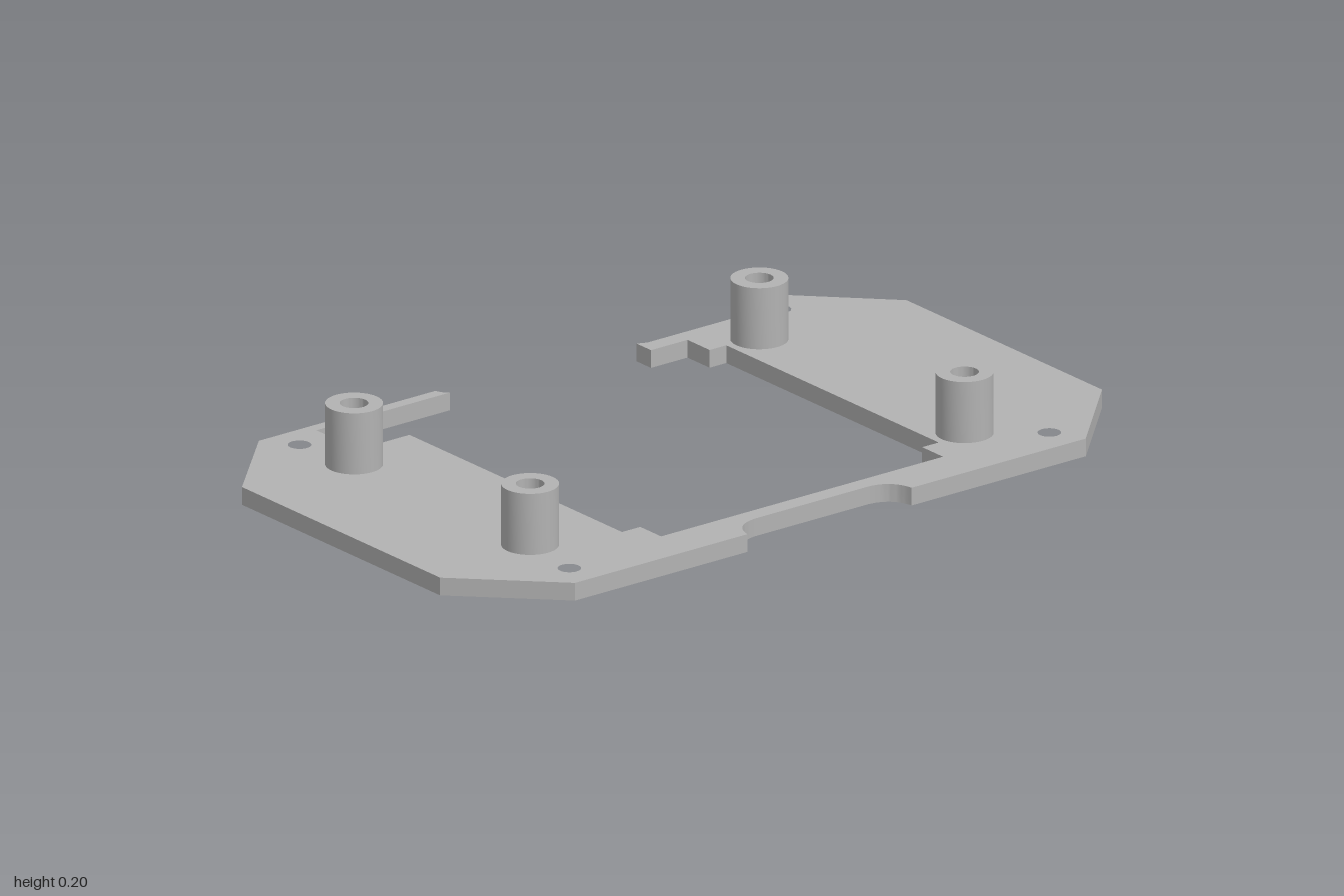
import * as THREE from 'three';
import { toCreasedNormals } from 'three/addons/utils/BufferGeometryUtils.js';

const T = 0.045; // plate thickness

export function createModel() {
  const model = new THREE.Group();
  model.name = 'mountingBracket';
  const grey = new THREE.MeshStandardMaterial({ color: 0xb2b2b2 });
  grey.name = 'grey';

  // Plate outline in (x, z); four numbers make a rounded relief (control, end)
  const outline = [
    [0.37, -1], [0.6, -0.77], [0.6, -0.245],
    [0.535, -0.235, 0.53, -0.17], [0.53, 0.17], [0.535, 0.24, 0.6, 0.25],
    [0.6, 0.77], [0.375, 1], [-0.385, 1], [-0.6, 0.78],
    // thin front arm and its notch
    [-0.6, 0.247], [-0.58, 0.243, -0.57, 0.227], [-0.57, 0.63], [-0.41, 0.63],
    // central opening
    [-0.41, 0.475], [0.405, 0.475], [0.405, 0.42], [0.485, 0.42],
    [0.485, -0.43], [0.405, -0.43], [0.405, -0.48], [-0.41, -0.48],
    [-0.41, -0.43], [-0.495, -0.43],
    // short rear arm
    [-0.495, -0.32], [-0.55, -0.32], [-0.54, -0.345], [-0.54, -0.59],
    [-0.543, -0.65, -0.6, -0.665], [-0.6, -0.78],
  ];
  const shape = new THREE.Shape();
  shape.moveTo(-0.38, -1 * -1);
  for (const [a, b, c, d] of outline) {
    if (c === undefined) shape.lineTo(a, -b);
    else shape.quadraticCurveTo(a, -b, c, -d);
  }
  shape.closePath();

  // Corner screw holes
  for (const x of [-0.52, 0.515]) {
    for (const z of [-0.727, 0.72]) {
      const hole = new THREE.Path();
      hole.absarc(x, -z, 0.028, 0, Math.PI * 2, true);
      shape.holes.push(hole);
    }
  }
  const plateGeo = new THREE.ExtrudeGeometry(shape, { depth: T, bevelEnabled: false, curveSegments: 16 });
  plateGeo.rotateX(-Math.PI / 2);
  const plate = new THREE.Mesh(toCreasedNormals(plateGeo, 0.5), grey);
  plate.name = 'plate';
  model.add(plate);

  // Hollow standoffs
  const profile = [[0.069, T], [0.069, 0.2], [0.034, 0.2], [0.034, T]].map(p => new THREE.Vector2(...p));
  const standoffGeo = toCreasedNormals(new THREE.LatheGeometry(profile, 40), 0.5);
  const spots = {
    rearRightStandoff: [-0.395, -0.568], rearLeftStandoff: [0.392, -0.568],
    frontRightStandoff: [-0.34, 0.697], frontLeftStandoff: [0.335, 0.697],
  };
  for (const [name, [x, z]] of Object.entries(spots)) {
    const standoff = new THREE.Mesh(standoffGeo, grey);
    standoff.name = name;
    standoff.position.set(x, 0, z);
    model.add(standoff);
  }
  return model;
}
